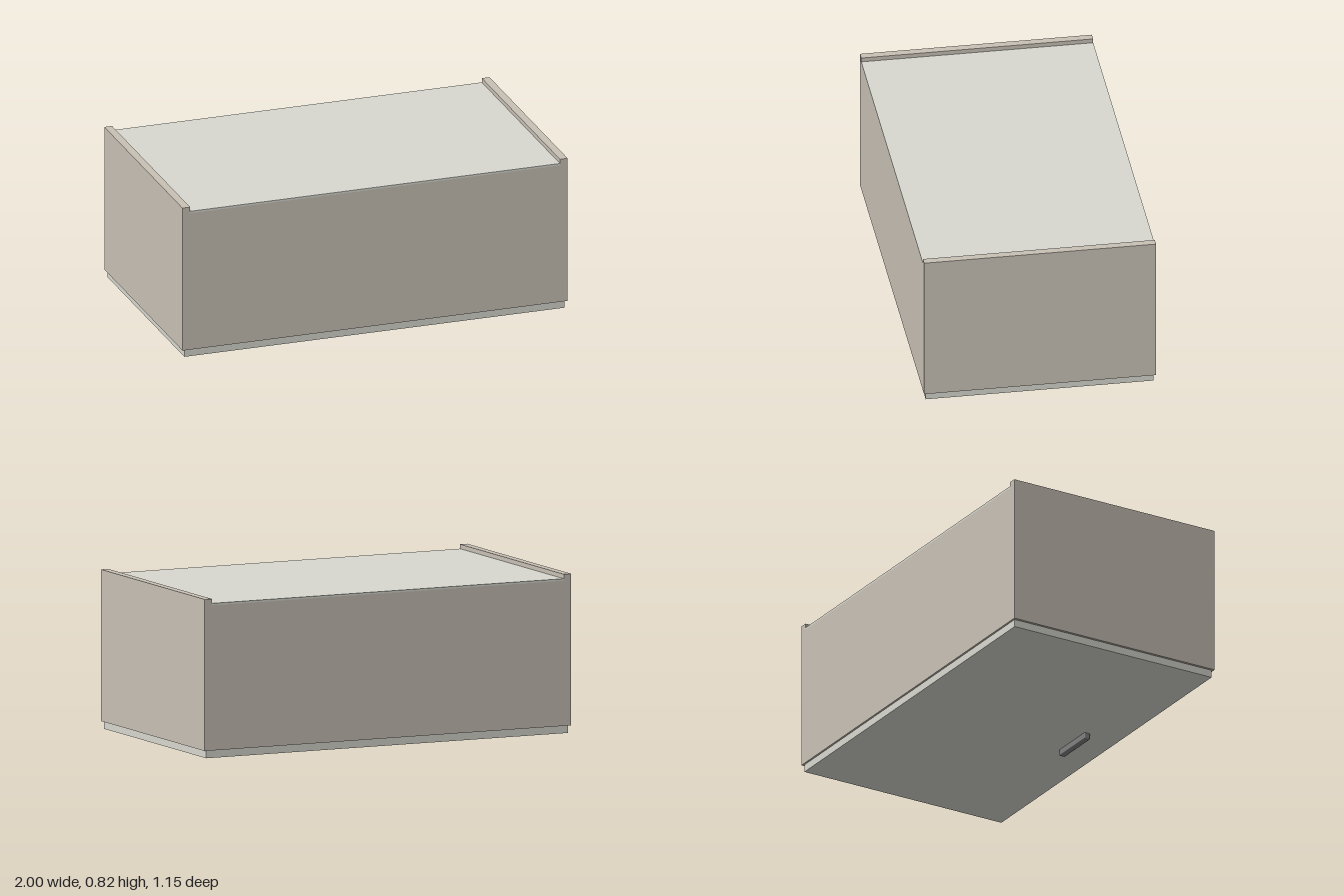
import * as THREE from 'three';
import { RoundedBoxGeometry } from 'three/addons/geometries/RoundedBoxGeometry.js';

const carcassMat = new THREE.MeshStandardMaterial({ color: 0xc8c0b5 });
const panelMat = new THREE.MeshStandardMaterial({ color: 0xd8d8d0 });
const handleMat = new THREE.MeshStandardMaterial({ color: 0x808080 });

// Board spanning the given ranges on each axis
function board(name, mat, [x0, x1], [y0, y1], [z0, z1]) {
  const mesh = new THREE.Mesh(new THREE.BoxGeometry(x1 - x0, y1 - y0, z1 - z0), mat);
  mesh.position.set((x0 + x1) / 2, (y0 + y1) / 2, (z0 + z1) / 2);
  mesh.name = name;
  return mesh;
}

export function createModel() {
  const model = new THREE.Group();
  model.name = 'cabinet';
  const W = 1, D = 0.575, T = 0.04;

  // Carcass: two tall sides, with boards fitted between them
  const carcass = new THREE.Group();
  carcass.name = 'carcass';
  for (const s of [-1, 1]) {
    const x = s < 0 ? [-W, -W + T] : [W - T, W];
    const z = s < 0 ? [-D, -D + T] : [D - T, D];
    carcass.add(board(s < 0 ? 'rightSide' : 'leftSide', carcassMat, x, [0.07, 0.82], [-D, D]));
    carcass.add(board(s < 0 ? 'rearBoard' : 'frontBoard', carcassMat, [-W + T, W - T], [0.07, 0.788], z));
  }
  model.add(carcass);

  // Thin panel set between the raised sides
  model.add(board('coverPanel', panelMat, [-W + T, W - T], [0.788, 0.798], [-D, D]));

  // Door closing the underside, slightly smaller than the carcass
  model.add(board('door', panelMat, [-0.987, 0.987], [0.032, 0.07], [-0.565, 0.565]));

  // Small pull on the door
  const handle = new THREE.Mesh(new RoundedBoxGeometry(0.24, 0.034, 0.032, 2, 0.005), handleMat);
  handle.position.set(0, 0.017, 0.382);
  handle.name = 'handle';
  model.add(handle);

  return model;
}
